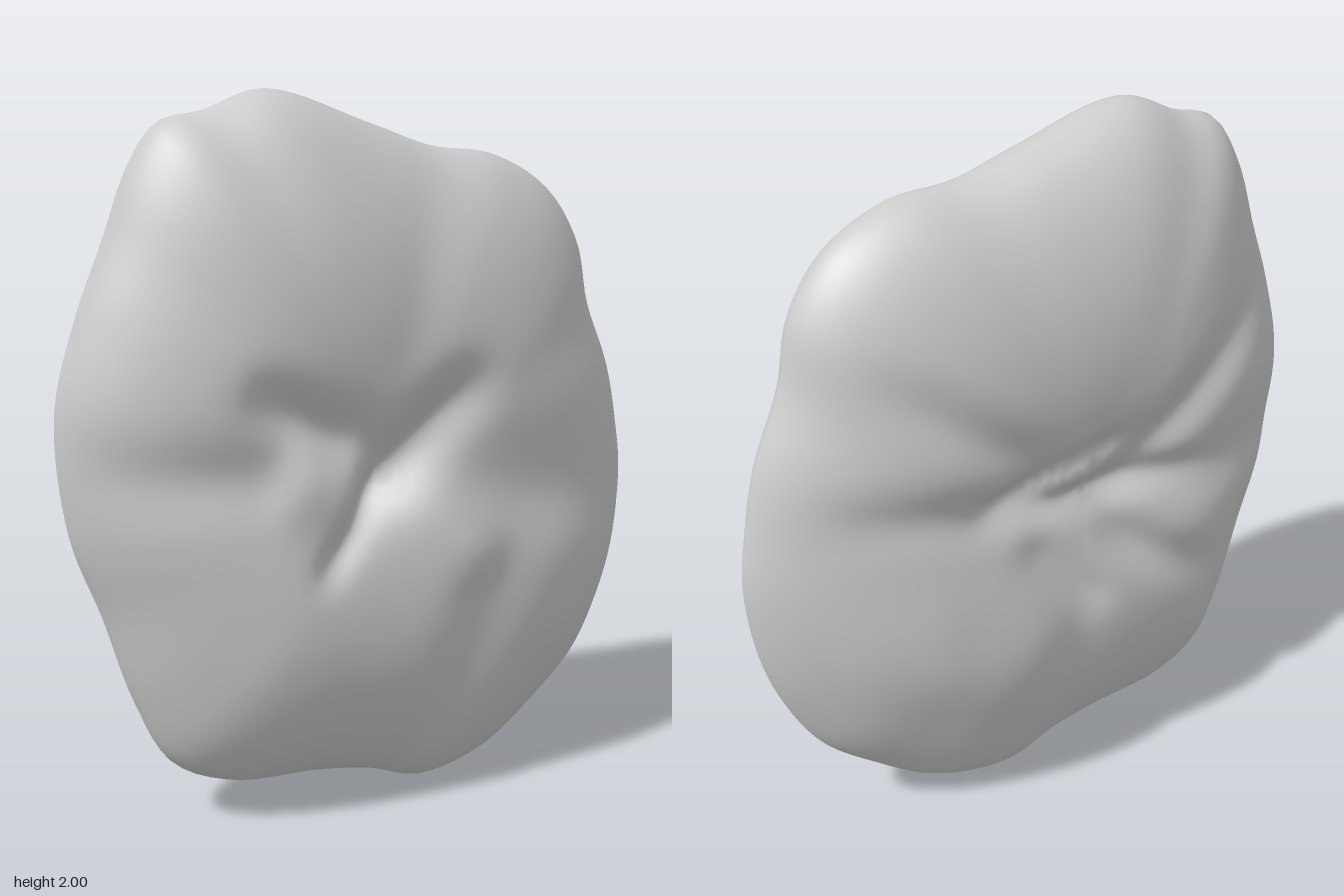
import * as THREE from 'three';
import { mergeVertices } from 'three/addons/utils/BufferGeometryUtils.js';

// Wavy outline of the cushion, clockwise from the top
const OUTLINE = [
  [-0.3, 2], [0, 1.92], [0.2, 1.86], [0.4, 1.84], [0.58, 1.75], [0.69, 1.6], [0.735, 1.42],
  [0.82, 1.22], [0.865, 1.03], [0.885, 0.88], [0.86, 0.65], [0.8, 0.47], [0.71, 0.31], [0.58, 0.19],
  [0.38, 0.05], [0.16, 0.0], [0, 0.05], [-0.17, 0.08], [-0.44, 0.1], [-0.6, 0.18], [-0.7, 0.37],
  [-0.78, 0.62], [-0.86, 0.85], [-0.885, 1.17], [-0.82, 1.42], [-0.74, 1.62], [-0.67, 1.8],
  [-0.59, 1.91], [-0.47, 1.94],
];

// Folds and swellings: [x1, y1, x2, y2, width, height]; negative heights are creases
const FRONT = [
  [-0.95, 1.01, 0.9, 0.93, 0.17, -0.035],
  [-0.24, 0.74, -0.06, 0.96, 0.045, -0.04], [-0.1, 0.92, 0.2, 1.22, 0.08, -0.06],
  [-0.42, 1.22, -0.14, 1.07, 0.075, -0.05], [-0.95, 1.03, -0.4, 1.0, 0.09, -0.025],
  [0.3, 0.88, 0.9, 0.82, 0.12, -0.02], [0.36, 0.75, 0.05, 0.05, 0.12, -0.02],
  [0.0, 1.25, 0.1, 1.8, 0.09, -0.012], [-0.32, 0.99, -0.16, 0.93, 0.11, 0.045],
  [0.06, 0.92, 0.22, 0.72, 0.11, 0.035], [-0.35, 1.3, -0.3, 1.65, 0.25, 0.01],
  [-0.35, 0.55, -0.05, 0.42, 0.25, 0.015],
];
const BACK = [
  [-0.95, 1.0, 0.9, 0.98, 0.17, -0.035],
  [0.27, 1.03, -0.14, 1.14, 0.05, -0.045], [0.2, 1.0, -0.4, 0.98, 0.055, -0.04],
  [-0.17, 1.03, -0.64, 1.42, 0.075, -0.045], [-0.1, 0.86, -0.52, 0.58, 0.07, -0.04],
  [0.7, 1.1, 0.18, 1.02, 0.08, -0.03], [0.55, 1.45, 0.12, 1.13, 0.07, -0.035],
  [-0.3, 0.92, -0.95, 0.98, 0.09, -0.025], [0.15, 0.88, -0.06, 0.66, 0.06, -0.03],
  [0.02, 0.6, 0.02, 0.12, 0.1, -0.015], [0.07, 1.06, -0.05, 1.08, 0.06, 0.03],
  [0.15, 0.6, 0.35, 0.48, 0.18, 0.025], [0.45, 0.62, 0.65, 0.6, 0.15, 0.015],
];

// Each fold is a soft ridge that fades out towards both ends
function foldHeight(folds, x, y) {
  let sum = 0;
  for (const [x1, y1, x2, y2, width, height] of folds) {
    const length = Math.hypot(x2 - x1, y2 - y1);
    const ux = (x2 - x1) / length, uy = (y2 - y1) / length;
    const px = x - (x1 + x2) / 2, py = y - (y1 + y2) / 2;
    const along = (px * ux + py * uy) / (length / 2 + width * 0.4);
    const across = (px * uy - py * ux) / width;
    sum += height * Math.exp(-across * across - Math.pow(along, 4));
  }
  return sum;
}

function cushionGeometry() {
  const around = 144, rows = 96;
  const curve = new THREE.CatmullRomCurve3(
    OUTLINE.map(([x, y]) => new THREE.Vector3(x, y, 0)), true, 'centripetal');
  const rim = curve.getSpacedPoints(around);
  const cx = -0.05, cy = 1;
  const positions = [], index = [];

  // Rings run from the front centre, over the rim, to the back centre
  for (let j = 0; j <= rows; j++) {
    const phi = (j / rows) * Math.PI;
    const s = j === rows ? 0 : Math.sin(phi);
    const front = j <= rows / 2;
    for (let i = 0; i < around; i++) {
      const rx = rim[i].x - cx, ry = rim[i].y - cy;
      const x = cx + rx * s, y = cy + ry * s;
      // The rim is blunt at top and bottom and pointed at the sides
      const bluntness = 0.66 - 0.14 * (ry * ry) / (rx * rx + ry * ry);
      const edge = Math.pow(Math.max(0, 1 - Math.pow(s, 2.6)), bluntness);
      const puff = 0.312 - 0.055 * Math.exp(-Math.pow(s / 0.36, 2));
      const h = edge * (puff + foldHeight(front ? FRONT : BACK, x, y));
      positions.push(x, y, front ? h : -h);
    }
  }
  for (let j = 0; j < rows; j++) {
    for (let i = 0; i < around; i++) {
      const k = (i + 1) % around;
      const a = j * around + i, b = j * around + k;
      const c = a + around, d = b + around;
      if (j > 0) index.push(a, b, d);
      if (j < rows - 1) index.push(a, d, c);
    }
  }
  let geometry = new THREE.BufferGeometry();
  geometry.setAttribute('position', new THREE.Float32BufferAttribute(positions, 3));
  geometry.setIndex(index);
  geometry = mergeVertices(geometry, 1e-5);
  geometry.computeVertexNormals();
  return geometry;
}

export function createModel() {
  const group = new THREE.Group();
  group.name = 'cushion';
  // Soft puffed body with creases gathered at the middle of both faces
  const body = new THREE.Mesh(cushionGeometry(), new THREE.MeshStandardMaterial({ color: 0xcccccc }));
  body.name = 'cushionBody';
  group.add(body);
  return group;
}
